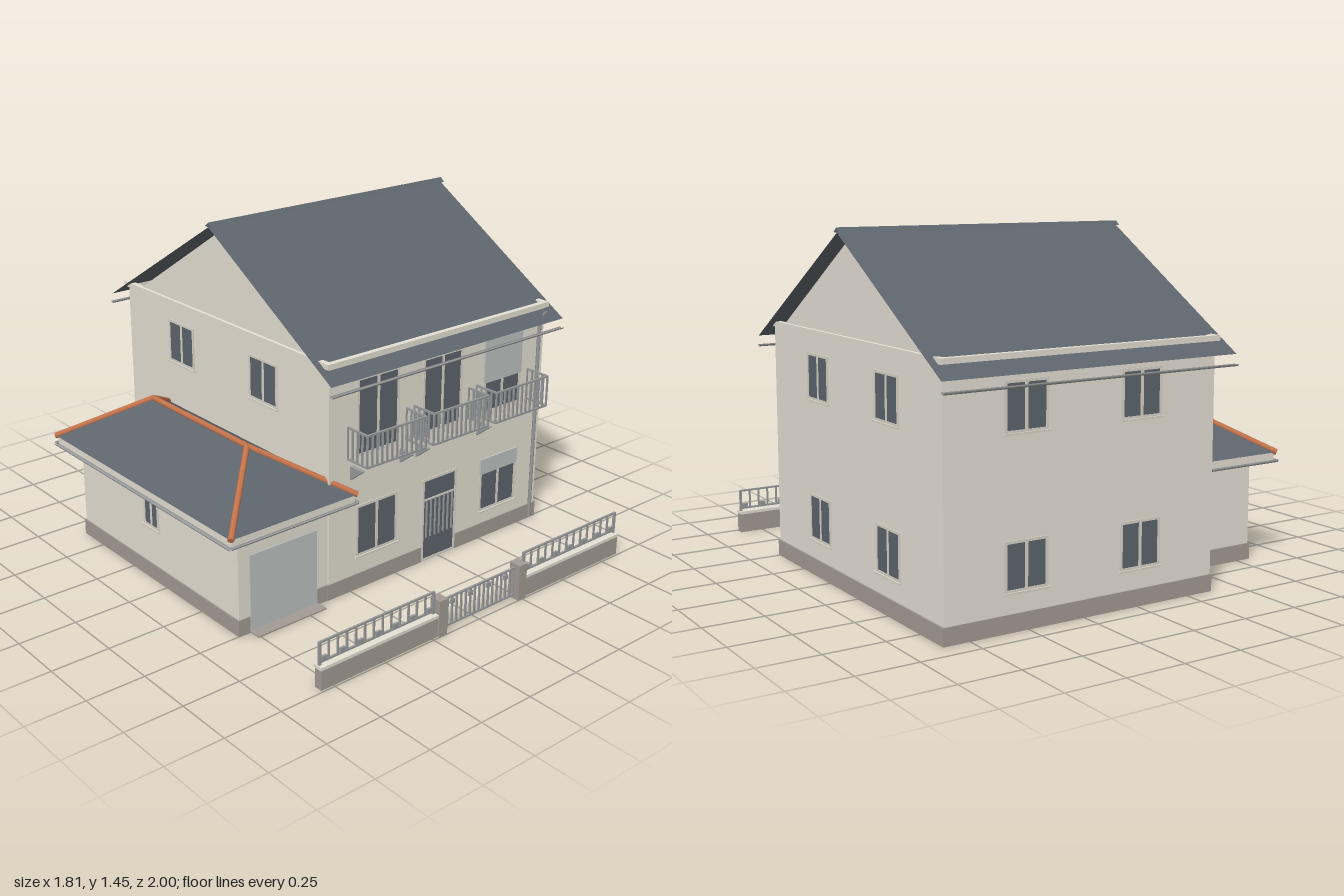
import * as THREE from 'three';

const mat = (name, color, side = THREE.FrontSide) => {
  const m = new THREE.MeshStandardMaterial({ color, side });
  m.name = name;
  return m;
};
const M = {
  wall: mat('cream plaster', 0xe4dfd3),
  trim: mat('window trim', 0xd9d4c8),
  plinth: mat('taupe stone', 0xa39a93),
  roof: mat('slate roof', 0x5e656c, THREE.DoubleSide),
  ridge: mat('terracotta ridge', 0xc4744c),
  glass: mat('dark glass', 0x5c646c),
  shutter: mat('pale shutter', 0xbcc2c1),
  metal: mat('grey metal', 0x989a9b, THREE.DoubleSide),
};

function add(parent, name, geo, material) {
  const m = new THREE.Mesh(geo, material);
  m.name = name;
  parent.add(m);
  return m;
}
// Box given by its limits
function box(parent, name, material, x0, x1, y0, y1, z0, z1) {
  const g = new THREE.BoxGeometry(x1 - x0, y1 - y0, z1 - z0);
  g.translate((x0 + x1) / 2, (y0 + y1) / 2, (z0 + z1) / 2);
  return add(parent, name, g, material);
}
function group(parent, name, x = 0, y = 0, z = 0, ry = 0) {
  const g = new THREE.Group();
  g.name = name;
  g.position.set(x, y, z);
  g.rotation.y = ry;
  parent.add(g);
  return g;
}
// Rectangular hollow ring standing on y0, with wall thickness t
function ring(parent, name, material, x0, x1, z0, z1, y0, y1, t) {
  const rect = (C, d) => new C([[x0 + d, z1 - d], [x1 - d, z1 - d], [x1 - d, z0 + d], [x0 + d, z0 + d]]
    .map(([x, z]) => new THREE.Vector2(x, -z)));
  const s = rect(THREE.Shape, 0);
  s.holes.push(new THREE.Path(rect(THREE.Path, t).getPoints().reverse()));
  const g = new THREE.ExtrudeGeometry(s, { depth: y1 - y0, bevelEnabled: false });
  g.rotateX(-Math.PI / 2);
  g.translate(0, y0, 0);
  return add(parent, name, g, material);
}
// Prism with a (z, y) profile, running along x from x0 to x1
function prism(parent, name, material, profile, x0, x1) {
  const s = new THREE.Shape(profile.map(([z, y]) => new THREE.Vector2(-z, y)));
  const g = new THREE.ExtrudeGeometry(s, { depth: x1 - x0, bevelEnabled: false });
  g.rotateY(Math.PI / 2);
  g.translate(x0, 0, 0);
  return add(parent, name, g, material);
}
// Surface from corner polygons, each split as a fan
function faces(parent, name, material, polys) {
  const p = [];
  for (const q of polys) for (let i = 1; i < q.length - 1; i++) p.push(...q[0], ...q[i], ...q[i + 1]);
  const g = new THREE.BufferGeometry();
  g.setAttribute('position', new THREE.Float32BufferAttribute(p, 3));
  g.computeVertexNormals();
  return add(parent, name, g, material);
}
// Round bar between two points
function bar(parent, name, material, a, b, r) {
  const path = new THREE.LineCurve3(new THREE.Vector3(...a), new THREE.Vector3(...b));
  const m = add(parent, name, new THREE.CylinderGeometry(r, r, path.getLength(), 8), material);
  m.position.copy(path.getPoint(0.5));
  m.quaternion.setFromUnitVectors(new THREE.Vector3(0, 1, 0), path.getTangent(0));
}
// Open half-round gutter
function gutter(parent, len, x, y, z, alongZ) {
  const g = new THREE.CylinderGeometry(0.009, 0.009, len, 8, 1, true, Math.PI, Math.PI);
  g.rotateZ(Math.PI / 2);
  if (alongZ) g.rotateY(Math.PI / 2);
  g.translate(x, y, z);
  add(parent, 'gutter', g, M.metal);
}
// Framed window facing local +z, standing on its origin
function window_(parent, name, w, h, x, y, z, ry = 0, panes = 2, sill = true) {
  const g = group(parent, name, x, y, z, ry), f = 0.011, hw = w / 2;
  box(g, 'glass', M.glass, -hw + f / 2, hw - f / 2, f / 2, h - f / 2, -0.014, 0.0015);
  for (const s of [-1, 1]) box(g, 'frameSide', M.trim, s * (hw - f / 2) - f / 2, s * (hw - f / 2) + f / 2, 0, h, -0.016, 0.004);
  for (const b of [0, h - f]) box(g, 'frameRail', M.trim, -hw, hw, b, b + f, -0.0155, 0.0035);
  for (let i = 1; i < panes; i++) {
    const c = -hw + w * i / panes;
    box(g, 'mullion', M.trim, c - 0.007, c + 0.007, f, h - f, -0.016, 0.003);
  }
  if (sill) box(g, 'sill', M.trim, -hw - 0.006, hw + 0.006, -0.006, 0.002, -0.002, 0.01);
  return g;
}
// Straight railing with balusters, running along local x
function railing(parent, name, len, y0, y1, n, x, z, ry = 0) {
  const g = group(parent, name, x, 0, z, ry), h = len / 2, t = 0.004;
  for (const y of [y0, y1]) box(g, 'rail', M.metal, -h, h, y - t, y + t, -t, t);
  for (let i = 0; i <= n; i++) {
    const c = -h + len * i / n;
    box(g, 'baluster', M.metal, c - 0.0035, c + 0.0035, y0, y1, -0.0035, 0.0035);
  }
  return g;
}

export function createModel() {
  const root = new THREE.Group();
  root.name = 'house';

  // Main block: hollow walls, plinth and cornice
  const main = group(root, 'mainBlock');
  const X0 = -0.365, X1 = 0.855, Z0 = -0.912, Z1 = 0.504;
  ring(main, 'walls', M.wall, X0, X1, Z0, Z1, 0, 1.006, 0.01);
  ring(main, 'cornice', M.wall, X0 - 0.015, X1 + 0.015, Z0 - 0.013, Z1 + 0.011, 1.005, 1.027, 0.024);
  box(main, 'plinthBack', M.plinth, X0 - 0.006, X1 + 0.007, 0, 0.07, Z0 - 0.004, Z0 + 0.012);
  for (const x of [X0 - 0.006, X1 - 0.011]) box(main, 'plinthSide', M.plinth, x, x + 0.018, 0, 0.07, Z0, Z1);
  for (const [a, b] of [[X0 - 0.006, 0.148], [0.348, X1 + 0.007]])
    box(main, 'plinthFront', M.plinth, a, b, 0, 0.07, Z1 - 0.012, Z1 + 0.004);

  // Gables
  for (const x of [X0, X1 - 0.01]) prism(main, 'gable', M.wall, [[0.4, 1.02], [-0.808, 1.02], [-0.207, 1.395]], x, x + 0.01);

  // Main roof: two thin slopes, ridge cap and gutters
  const R0 = -0.41, R1 = 0.902, RZ = -0.21, RY = 1.425, EY = 0.958;
  const roof = group(root, 'mainRoof');
  const slope = (z) => [[R0, EY, z], [R1, EY, z], [R1, RY, RZ], [R0, RY, RZ]];
  faces(roof, 'slopes', M.roof, [slope(0.57), slope(-0.987).reverse()]);
  prism(roof, 'ridgeCap', M.roof, [[RZ + 0.022, 1.426], [RZ - 0.022, 1.426], [RZ, 1.445]], R0, R1 + 0.003);
  for (const z of [0.57, -0.991]) gutter(roof, R1 - R0, (R0 + R1) / 2, 0.92, z);

  // Front downpipe
  const pipe = new THREE.CatmullRomCurve3([[0.82, 1.0, 0.542], [0.82, 0.985, 0.537], [0.82, 0.955, 0.518], [0.82, 0.92, 0.513], [0.82, 0.5, 0.513], [0.82, 0.01, 0.513]]
    .map(p => new THREE.Vector3(...p)), false, 'centripetal');
  add(main, 'downpipe', new THREE.TubeGeometry(pipe, 32, 0.008, 8), M.metal);

  // Side and back windows, both floors
  for (const y of [0.15, 0.735]) {
    for (const z of [0.085, -0.5]) {
      window_(main, 'sideWindow', 0.19, 0.193, X1, y, z, Math.PI / 2);
      window_(main, 'sideWindow', 0.19, 0.193, X0, y, z, -Math.PI / 2);
    }
    for (const x of [0.51, -0.01]) window_(main, 'backWindow', 0.19, 0.193, x, y, Z0, Math.PI);
  }

  // Front windows, balcony doors and roller shutters
  window_(main, 'frontWindow', 0.225, 0.23, -0.11, 0.15, Z1);
  window_(main, 'frontWindow', 0.225, 0.25, 0.605, 0.13, Z1);
  for (const x of [-0.11, 0.247, 0.605]) window_(main, 'balconyDoor', 0.225, 0.335, x, 0.597, Z1, 0, 2, false);
  for (const [a, b] of [[0.31, 0.381], [0.737, 0.933]]) box(main, 'shutter', M.shutter, 0.492, 0.718, a, b, Z1, Z1 + 0.008);

  // Entrance door
  const door = window_(main, 'entranceDoor', 0.2, 0.385, 0.248, 0, Z1, 0, 1, false);
  for (let i = 0; i < 7; i++) box(door, 'doorBar', M.metal, -0.078 + i * 0.025, -0.072 + i * 0.025, 0.11, 0.28, 0.001, 0.008);
  box(door, 'transomBar', M.trim, -0.09, 0.09, 0.283, 0.292, 0, 0.004);

  // Balcony railings and wall brackets
  for (const x of [-0.112, 0.246, 0.607]) {
    const b = group(root, 'balcony', x);
    railing(b, 'frontRailing', 0.315, 0.603, 0.738, 12, 0, 0.622);
    for (const s of [-1, 1]) railing(b, 'sideRailing', 0.117, 0.603, 0.738, 4, s * 0.1575, 0.5635, Math.PI / 2);
  }
  for (const x of [-0.247, 0.021, 0.111, 0.469])
    prism(root, 'wallBracket', M.metal, [[0.504, 0.565], [0.504, 0.505], [0.58, 0.565]], x - 0.008, x + 0.008);

  // Garage wing: walls, plinth, door and ramp
  const wing = group(root, 'garageWing');
  const W0 = -0.812, B0 = -0.64, B1 = 0.497;
  box(wing, 'wallLeft', M.wall, W0, W0 + 0.01, 0, 0.46, B0, B1);
  box(wing, 'wallBack', M.wall, W0, X0, 0, 0.46, B0, B0 + 0.01);
  box(wing, 'wallFront', M.wall, W0, X0, 0, 0.46, B1 - 0.01, B1);
  box(wing, 'plinthSide', M.plinth, W0 - 0.006, W0 + 0.012, 0, 0.07, B0 - 0.006, B1 + 0.006);
  box(wing, 'plinthBack', M.plinth, W0, X0, 0, 0.07, B0 - 0.006, B0 + 0.012);
  for (const [a, b] of [[W0, -0.762], [-0.42, X0]]) box(wing, 'plinthFront', M.plinth, a, b, 0, 0.07, B1 - 0.012, B1 + 0.006);
  box(wing, 'garageDoor', M.shutter, -0.757, -0.423, 0.006, 0.335, B1 - 0.013, B1 + 0.004);
  box(wing, 'ramp', M.plinth, -0.762, -0.418, 0, 0.006, B1 - 0.01, 0.555);
  window_(wing, 'smallWindow', 0.11, 0.125, W0, 0.24, -0.1, -Math.PI / 2);

  // Hipped wing roof with fascia, gutters and ridge tiles
  const E0 = -0.895, E1 = -0.272, F0 = -0.716, F1 = 0.571, HX = -0.585, HY = 0.665, HE = 0.472;
  ring(wing, 'fascia', M.wall, E0 + 0.008, E1 - 0.008, F0 + 0.008, F1 - 0.008, 0.438, 0.471, 0.075);
  const P = [[E0, HE, F0], [E1, HE, F0], [E1, HE, F1], [E0, HE, F1]];
  const A = [HX, HY, -0.405], B = [HX, HY, 0.262];
  faces(wing, 'hippedRoof', M.roof, [[P[3], P[2], B], [P[1], P[0], A], [P[0], P[3], B, A], [P[2], P[1], A, B]]);
  for (const [a, b] of [[A, B], [P[0], A], [P[1], A], [P[2], B], [P[3], B]]) bar(wing, 'ridgeTiles', M.ridge, a, b, 0.013);
  for (const z of [F0 - 0.004, F1]) gutter(wing, E1 - E0, (E0 + E1) / 2, 0.439, z);
  for (const x of [E0 - 0.004, E1]) gutter(wing, F1 - F0, x, 0.439, (F0 + F1) / 2, true);

  // Street fence: low walls, railings, posts and gate
  const fence = group(root, 'fence');
  for (const [a, b] of [[-0.812, -0.22], [0.268, 0.855]]) {
    box(fence, 'fenceWall', M.plinth, a + 0.004, b, 0, 0.085, 0.954, 0.991);
    box(fence, 'coping', M.wall, a, b, 0.085, 0.098, 0.95, 0.995);
    const r = railing(fence, 'fenceRailing', b - a - 0.02, 0.11, 0.192, 13, (a + b) / 2, 0.972);
    for (let i = 0; i < 7; i++) {
      const c = -0.245 + i * 0.088 - 0.019;
      box(r, 'ornament', M.metal, c - 0.012, c + 0.012, 0.11, 0.131, -0.005, 0.005);
    }
    for (const s of [-0.285, 0.285]) box(r, 'stake', M.metal, s - 0.005, s + 0.005, 0.09, 0.195, -0.005, 0.005);
  }
  for (const x of [-0.2, 0.247]) box(fence, 'gatePost', M.plinth, x - 0.022, x + 0.022, 0, 0.158, 0.947, 1.0);
  const gate = railing(fence, 'gate', 0.403, 0.018, 0.14, 16, 0.0235, 0.972);
  for (let i = 0; i < 4; i++) box(gate, 'ornament', M.metal, -0.16 + i * 0.1, -0.14 + i * 0.1, 0.106, 0.126, -0.005, 0.005);

  return root;
}
